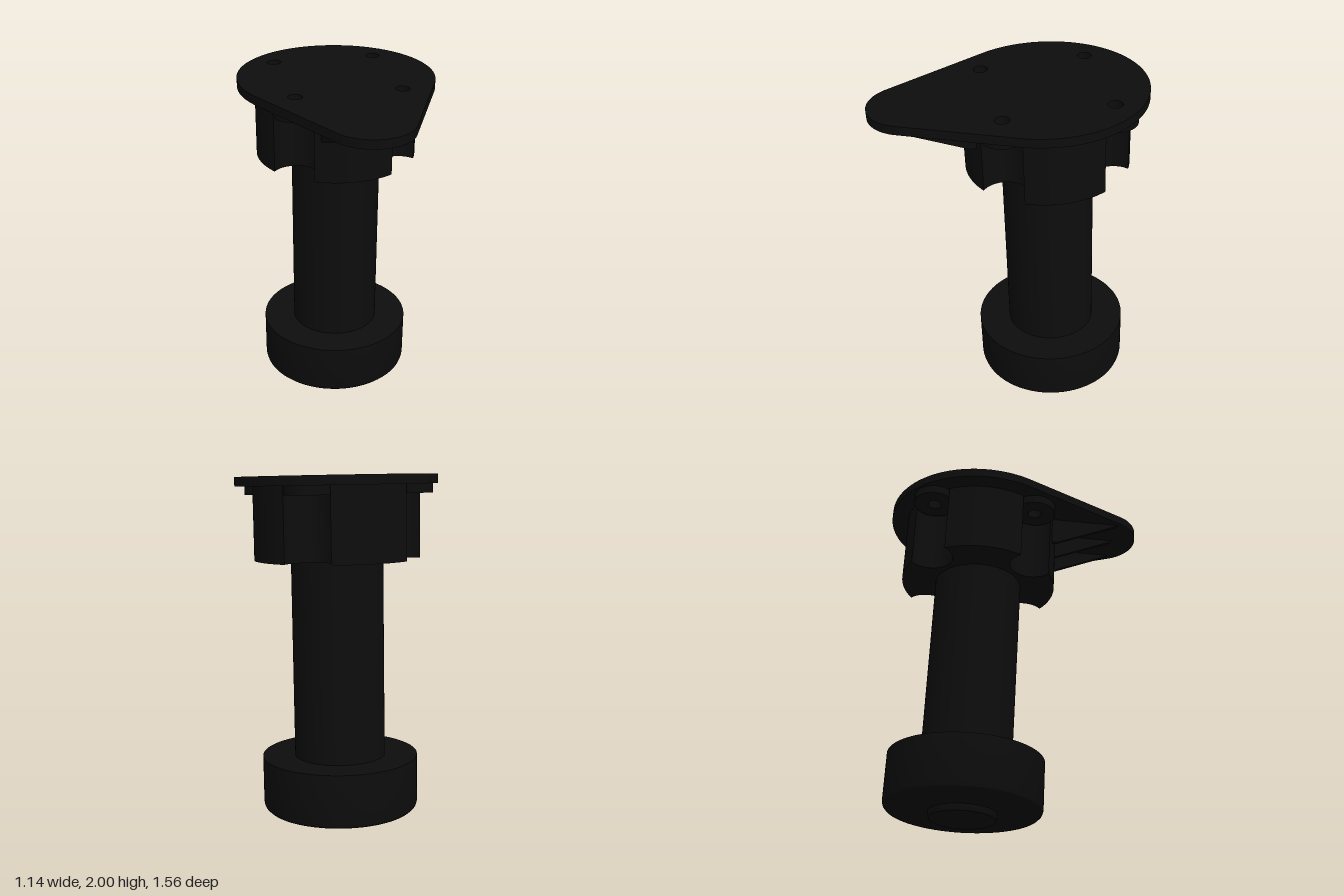
import * as THREE from 'three';
import { toCreasedNormals } from 'three/addons/utils/BufferGeometryUtils.js';

const black = new THREE.MeshStandardMaterial({ color: 0x0d0d0d });
black.name = 'black plastic';

// Main heights and radii, measured along the leg's own axis
const PLATE_BOTTOM = 1.913, PLATE_TOP = 1.965;
const HOUSING_BOTTOM = 1.498, HOUSING_R = 0.47;
const HOLE_R = 0.041, HOLE_DIST = 0.431, NOTCH_R = 0.135;
const corners = [0, 1, 2, 3].map(k => Math.PI / 4 + k * Math.PI / 2);

function part(name, geometry) {
  const mesh = new THREE.Mesh(toCreasedNormals(geometry, 0.5), black);
  mesh.name = name;
  return mesh;
}

// Revolved part from [radius, height] pairs, bottom to top
function lathe(name, profile) {
  return part(name, new THREE.LatheGeometry(profile.map(p => new THREE.Vector2(...p)), 72));
}

// Horizontal slab from a plan shape (shape y points to the back)
function slab(name, shape, bottom, top) {
  const g = new THREE.ExtrudeGeometry(shape, { depth: top - bottom, bevelEnabled: false, curveSegments: 48 });
  g.rotateX(-Math.PI / 2).translate(0, bottom, 0);
  return part(name, g);
}

function circleHole(x, y) {
  const hole = new THREE.Path();
  hole.absarc(x, y, HOLE_R, 0, Math.PI * 2, true);
  return hole;
}

// Teardrop mounting plate: two arcs joined by tangents, with four screw holes
function plateShape() {
  const R = 0.57, r = 0.235, d = 0.75, a = Math.asin((R - r) / d);
  const s = new THREE.Shape();
  s.absarc(0, 0, R, -a, Math.PI + a, false);
  s.absarc(0, -d, r, Math.PI + a, 2 * Math.PI - a, false);
  s.closePath();
  for (const c of corners) s.holes.push(circleHole(HOLE_DIST * Math.cos(c), HOLE_DIST * Math.sin(c)));
  return s;
}

// Round housing with four screw notches scooped from its rim
function housingShape() {
  const phi = Math.acos((HOUSING_R ** 2 + HOLE_DIST ** 2 - NOTCH_R ** 2) / (2 * HOUSING_R * HOLE_DIST));
  const beta = Math.atan2(HOUSING_R * Math.sin(phi), HOUSING_R * Math.cos(phi) - HOLE_DIST);
  const s = new THREE.Shape();
  for (const c of corners) {
    s.absarc(0, 0, HOUSING_R, c - Math.PI / 2 + phi, c - phi, false);
    s.absarc(HOLE_DIST * Math.cos(c), HOLE_DIST * Math.sin(c), NOTCH_R, c - beta, c + beta, true);
  }
  s.closePath();
  return s;
}

// Triangular stiffening rib under the front of the plate
function rib(x) {
  const w = 0.02;
  const s = new THREE.Shape([[0.4, 1.75], [0.465, 1.75], [0.85, PLATE_BOTTOM], [0.4, PLATE_BOTTOM]]
    .map(p => new THREE.Vector2(...p)));
  const g = new THREE.ExtrudeGeometry(s, { depth: w, bevelEnabled: false });
  g.rotateY(-Math.PI / 2).translate(x + w / 2, 0, 0);
  return part('rib', g);
}

export function createModel() {
  const leg = new THREE.Group();
  leg.name = 'furnitureLeg';

  leg.add(slab('mountingPlate', plateShape(), PLATE_BOTTOM, PLATE_TOP));
  leg.add(slab('housing', housingShape(), HOUSING_BOTTOM, PLATE_BOTTOM));

  // Screw bosses under the plate
  for (const c of corners) {
    const x = HOLE_DIST * Math.cos(c), y = HOLE_DIST * Math.sin(c);
    const s = new THREE.Shape();
    s.absarc(x, y, 0.125, 0, Math.PI * 2, false);
    s.holes.push(circleHole(x, y));
    leg.add(slab('screwBoss', s, PLATE_BOTTOM - 0.05, PLATE_BOTTOM));
  }

  for (const x of [-0.18, 0, 0.18]) leg.add(rib(x));

  leg.add(lathe('column', [[0.263, 0.34], [0.263, 1.51]]));

  // Foot with a rounded lower edge, and the small pad beneath it
  leg.add(lathe('foot', [[0, 0.043], [0.415, 0.043], [0.433, 0.048], [0.446, 0.061],
    [0.451, 0.079], [0.451, 0.355], [0, 0.355]]));
  leg.add(lathe('footPad', [[0, 0], [0.178, 0], [0.19, 0.005], [0.195, 0.017], [0.195, 0.05]]));

  // The whole leg leans slightly
  leg.rotation.x = 0.0436;
  leg.position.set(0, 0.01, -0.293);

  const model = new THREE.Group();
  model.name = 'model';
  model.add(leg);
  return model;
}
